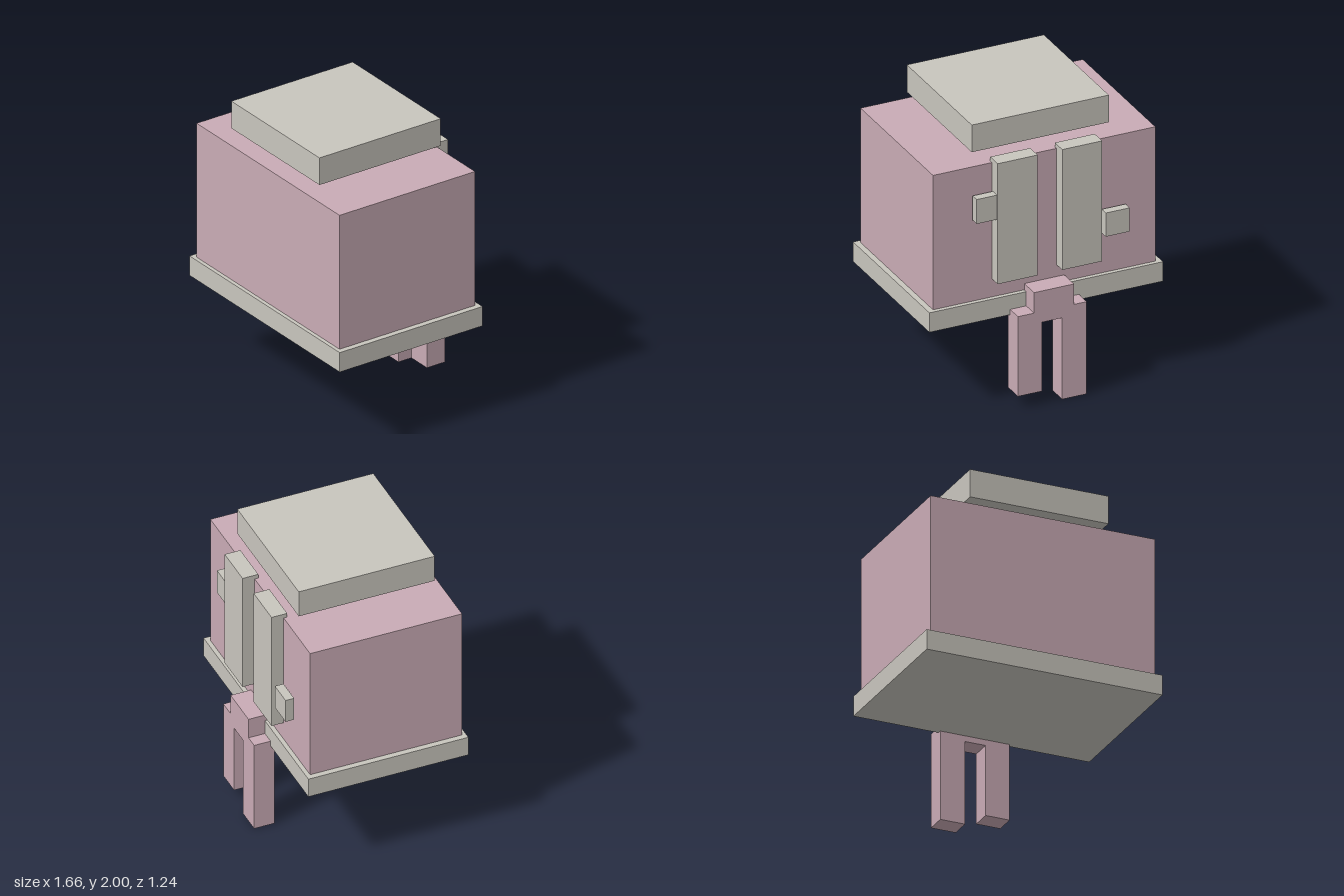
import * as THREE from 'three';

export function createModel() {
  const model = new THREE.Group();
  model.name = 'model';

  const pink = new THREE.MeshStandardMaterial({ color: 0xc9abb5 });
  pink.name = 'dusty pink';
  const grey = new THREE.MeshStandardMaterial({ color: 0xc8c5bd });
  grey.name = 'warm grey';

  // Adds a box given its [min, max] extent on each axis
  function addBox(name, material, [x0, x1], [y0, y1], [z0, z1]) {
    const mesh = new THREE.Mesh(new THREE.BoxGeometry(x1 - x0, y1 - y0, z1 - z0), material);
    mesh.position.set((x0 + x1) / 2, (y0 + y1) / 2, (z0 + z1) / 2);
    mesh.name = name;
    model.add(mesh);
  }

  // Main body on its base plate, with the lid floating above
  addBox('body', pink, [-0.795, 0.79], [0.765, 1.73], [-0.475, 0.59]);
  addBox('basePlate', grey, [-0.835, 0.83], [0.625, 0.765], [-0.505, 0.617]);
  addBox('lid', grey, [-0.49, 0.487], [1.805, 2], [-0.42, 0.533]);

  // Upright panels on the back
  addBox('rightBackPanel', grey, [-0.375, -0.09], [0.895, 1.76], [-0.56, -0.45]);
  addBox('leftBackPanel', grey, [0.085, 0.37], [0.895, 1.76], [-0.56, -0.45]);

  // Small blocks beside the panels, at different heights
  addBox('rightSideBlock', grey, [-0.575, -0.405], [1.06, 1.23], [-0.55, -0.49]);
  addBox('leftSideBlock', grey, [0.345, 0.515], [1.355, 1.53], [-0.55, -0.49]);

  // Forked tail: stepped top and two prongs of unequal length
  const outline = [
    [-0.235, 0], [-0.06, 0], [-0.06, 0.585], [0.085, 0.585], [0.085, 0.09], [0.255, 0.09],
    [0.255, 0.663], [0.14, 0.663], [0.14, 0.81], [-0.145, 0.81], [-0.145, 0.663], [-0.235, 0.663],
  ].map(([x, y]) => new THREE.Vector2(x, y));
  const fork = new THREE.Mesh(
    new THREE.ExtrudeGeometry(new THREE.Shape(outline), { depth: 0.144, bevelEnabled: false }),
    pink,
  );
  fork.position.z = -0.62;
  fork.name = 'forkedTail';
  model.add(fork);

  return model;
}
